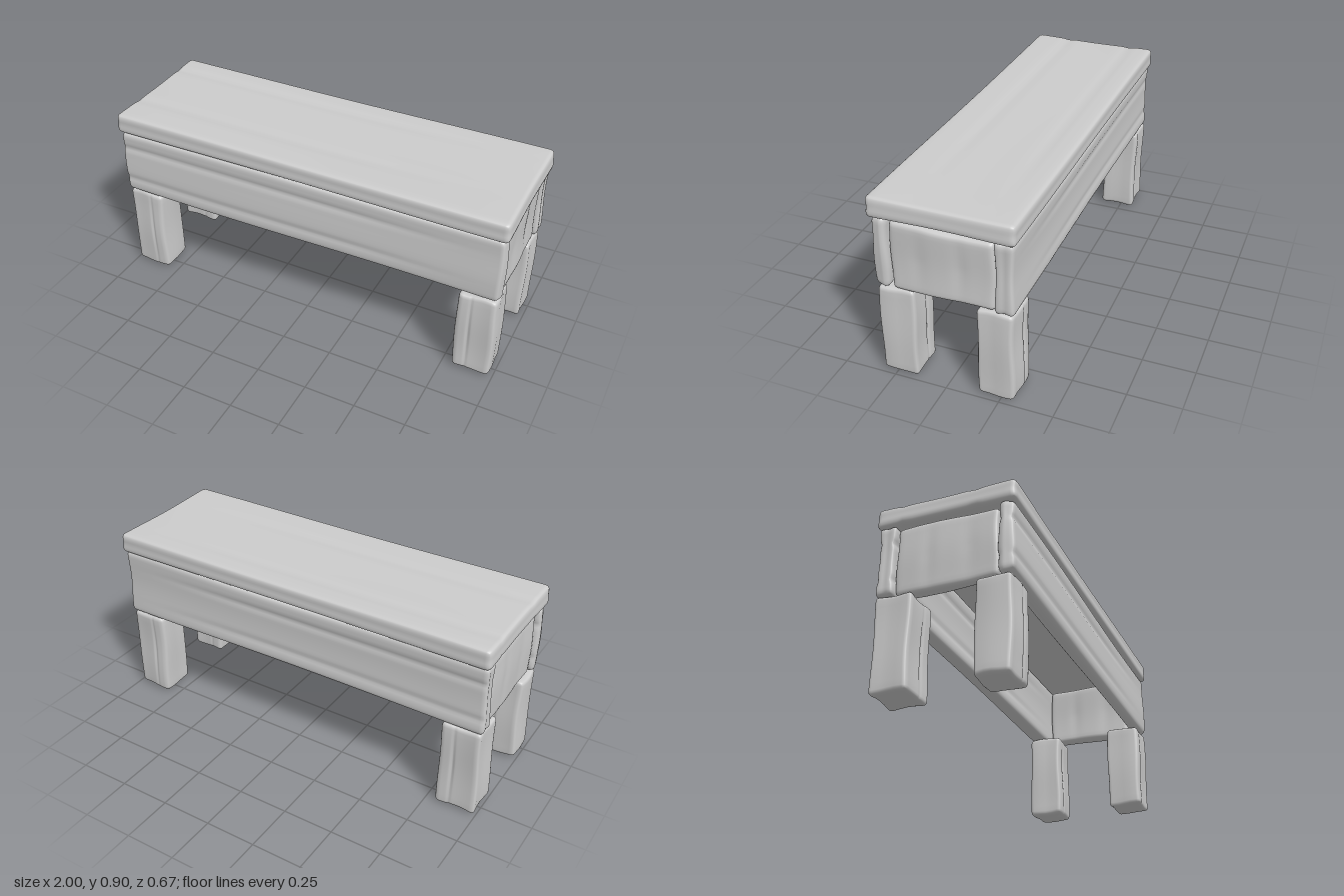
import * as THREE from 'three';
import { mergeVertices } from 'three/addons/utils/BufferGeometryUtils.js';

const material = new THREE.MeshStandardMaterial({ color: 0xcccccc });

// Spread grid lines so that three cells at each end cover the rounded edge
function remap(v, half, r, n) {
  const i = Math.round((v / (2 * half) + 0.5) * n);
  if (i <= 3) return -half + r * (1 - Math.cos((i / 3) * Math.PI / 2));
  if (i >= n - 3) return half - r * (1 - Math.cos(((n - i) / 3) * Math.PI / 2));
  return -half + r + (2 * (half - r) * (i - 3)) / (n - 6);
}

// A hand-hewn timber between two corners: rounded edges, slight waviness, and
// shallow grain grooves running along one axis.
// grooves: [position across the grain, depth, width]
function timber(name, min, max, { r = 0.018, seed = 1, grain = 0, across = 1, face = 2, grooves = [], wave = 0.003 } = {}) {
  const half = min.map((m, i) => (max[i] - m) / 2);
  const mid = min.map((m, i) => (max[i] + m) / 2);
  const segs = half.map((h, i) => (i === face ? 10 : i === across ? 30 : 20));
  let geo = new THREE.BoxGeometry(...half.map(h => h * 2), ...segs);
  geo.deleteAttribute('uv');
  geo.deleteAttribute('normal');
  geo = mergeVertices(geo, 1e-5);
  const pos = geo.attributes.position;
  for (let k = 0; k < pos.count; k++) {
    const p = [pos.getX(k), pos.getY(k), pos.getZ(k)].map((v, i) => remap(v, half[i], r, segs[i]));
    // Round the edges and corners
    const core = p.map((v, i) => THREE.MathUtils.clamp(v, r - half[i], half[i] - r));
    const d = p.map((v, i) => v - core[i]);
    const len = Math.hypot(...d) || 1;
    const reach = Math.max(...d.map(Math.abs)) ? r / len : 0;
    const q = core.map((v, i) => v + d[i] * reach);
    const u = q.map((v, i) => v / half[i]);
    // Grooves fade towards the +x end of the long boards
    const fade = grain === 0 ? 1 - THREE.MathUtils.smoothstep(u[0], 0.1, 0.95) : 1 - 0.7 * Math.abs(u[grain]);
    for (const [at, depth, width] of grooves) {
      q[face] -= u[face] * depth * fade * Math.exp(-(((u[across] - at) / width) ** 2));
    }
    // Worn, uneven faces
    for (let i = 0; i < 3; i++) {
      const a = u[(i + 1) % 3], b = u[(i + 2) % 3];
      q[i] += u[i] * wave * (Math.sin(a * 2.7 + seed * 1.9 + i) + Math.sin(b * 3.3 + seed * 2.3) - 0.8);
    }
    pos.setXYZ(k, ...q);
  }
  geo.computeVertexNormals();
  const mesh = new THREE.Mesh(geo, material);
  mesh.name = name;
  mesh.position.set(...mid);
  return mesh;
}

export function createModel() {
  const bench = new THREE.Group();
  bench.name = 'bench';

  // Thick seat slab
  bench.add(timber('seat', [-1, 0.802, -0.333], [1, 0.899, 0.333], {
    r: 0.026, seed: 2, across: 2, face: 1, wave: 0.002,
    grooves: [[-0.6, 0.006, 0.06], [0.43, 0.006, 0.07]],
  }));

  // Long boards under the seat, front and back
  for (const s of [1, -1]) {
    bench.add(timber(s > 0 ? 'frontBoard' : 'backBoard',
      [-0.995, 0.457, s > 0 ? 0.247 : -0.318], [0.99, 0.803, s > 0 ? 0.323 : -0.235], {
        r: 0.024, seed: 3 + s,
        grooves: [[0.5, 0.007, 0.09], [-0.55, 0.006, 0.1]],
      }));
  }

  // End panels closing the box between the long boards
  for (const s of [1, -1]) {
    const x = [s * 0.9, s * 0.98].sort((a, b) => a - b);
    bench.add(timber(s > 0 ? 'leftEndPanel' : 'rightEndPanel',
      [x[0], 0.453, -0.232], [x[1], 0.79, 0.245], {
        r: 0.022, seed: 5 + s, grain: 1, across: 2, face: 0,
        grooves: [[-0.35, 0.006, 0.12], [0.45, 0.005, 0.15]],
      }));
  }

  // Four square legs
  for (const sx of [1, -1]) for (const sz of [1, -1]) {
    const x = [sx * 0.796, sx * 0.985 - (sx < 0 ? 0.006 : 0)].sort((a, b) => a - b);
    const z = [sz * 0.142, sz * 0.318].sort((a, b) => a - b);
    bench.add(timber((sz > 0 ? 'front' : 'back') + (sx > 0 ? 'Left' : 'Right') + 'Leg',
      [x[0], 0.003, z[0]], [x[1], 0.456, z[1]], {
        r: 0.02, seed: 8 + sx + 2 * sz, grain: 1, across: 0, face: 2,
        grooves: [[-0.3 * sx, 0.008, 0.07]],
      }));
  }
  return bench;
}
